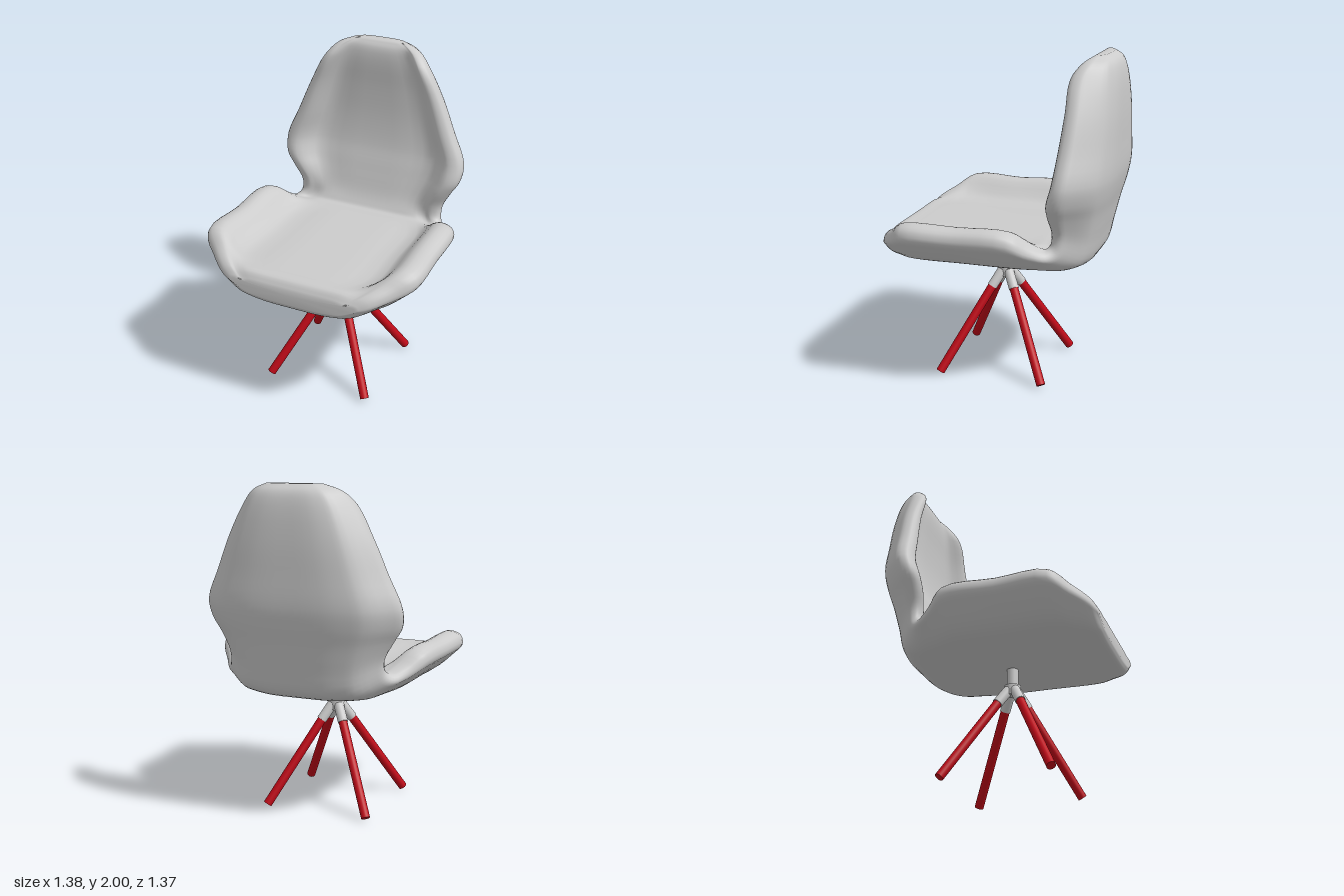
import * as THREE from 'three';

const grey = new THREE.MeshStandardMaterial({ color: 0xcccccc });
const red = new THREE.MeshStandardMaterial({ color: 0xc00a18 });

// Shell stations from seat front to back top:
// [outer y, outer z, inner y, inner z, half width, rim height above outer face]
const STATIONS = [
  [0.79, 0.685, 0.88, 0.68, 0.40, 0.09],
  [0.755, 0.66, 0.93, 0.645, 0.48, 0.175],
  [0.75, 0.56, 0.935, 0.56, 0.585, 0.235],
  [0.75, 0.46, 0.935, 0.46, 0.68, 0.30],
  [0.75, 0.15, 0.93, 0.15, 0.675, 0.30],
  [0.75, -0.17, 0.93, -0.17, 0.665, 0.30],
  [0.75, -0.30, 0.93, -0.28, 0.59, 0.22],
  [0.755, -0.44, 0.93, -0.35, 0.53, 0.20],
  [0.80, -0.55, 0.96, -0.375, 0.49, 0.24],
  [0.95, -0.595, 1.02, -0.405, 0.485, 0.235],
  [1.10, -0.63, 1.12, -0.435, 0.54, 0.27],
  [1.21, -0.66, 1.21, -0.46, 0.592, 0.295],
  [1.32, -0.68, 1.32, -0.49, 0.60, 0.285],
  [1.50, -0.685, 1.50, -0.51, 0.525, 0.27],
  [1.70, -0.685, 1.70, -0.51, 0.44, 0.255],
  [1.88, -0.67, 1.88, -0.50, 0.345, 0.235],
  [1.96, -0.645, 1.96, -0.51, 0.27, 0.16],
  [2.00, -0.60, 2.00, -0.54, 0.17, 0.06],
];

// Half cross-section of the padding: [fraction of half width, fraction of rim height]
const OUTER = [[0.35, 0.01], [0.56, 0.07], [0.735, 0.18], [0.92, 0.52],
  [1, 0.72], [0.98, 0.92], [0.88, 1], [0.79, 0.93]];
const INNER = [0.63, 0.3]; // width fractions at the cushion's inner height

function ringPoints([oy, oz, iy, iz, w, rim]) {
  const outer = new THREE.Vector3(0, oy, oz);
  const up = new THREE.Vector3(0, iy - oy, iz - oz);
  const thick = up.length();
  up.normalize();
  const half = [...OUTER.map(([f, h]) => [f * w, h * rim]), ...INNER.map(f => [f * w, thick])];
  const mirrored = half.map(([x, h]) => [-x, h]).reverse();
  return [[0, 0], ...half, [0, thick], ...mirrored]
    .map(([x, h]) => outer.clone().addScaledVector(up, h).setX(x));
}

// Smooth closed loft through the stations
function shellGeometry(around = 66, along = 68) {
  const rings = STATIONS.map(s => {
    const curve = new THREE.CatmullRomCurve3(ringPoints(s), true);
    return Array.from({ length: around }, (_, j) => curve.getPoint(j / around));
  });
  const rails = Array.from({ length: around }, (_, j) =>
    new THREE.CatmullRomCurve3(rings.map(r => r[j])));
  const pos = [], index = [];
  for (let i = 0; i <= along; i++)
    for (const rail of rails) pos.push(...rail.getPoint(i / along).toArray());
  for (let i = 0; i < along; i++) {
    for (let j = 0; j < around; j++) {
      const k = (j + 1) % around;
      const a = i * around + j, b = i * around + k;
      const c = a + around, d = b + around;
      index.push(a, c, b, b, c, d);
    }
  }
  // close the front and top ends
  for (const [ring, start] of [[rings[0], 0], [rings[rings.length - 1], along * around]]) {
    const centre = ring.reduce((s, p) => s.add(p), new THREE.Vector3()).divideScalar(around);
    const c = pos.length / 3;
    pos.push(...centre.toArray());
    for (let j = 0; j < around; j++) {
      const a = start + j, b = start + (j + 1) % around;
      if (start === 0) index.push(c, a, b);
      else index.push(c, b, a);
    }
  }
  const geo = new THREE.BufferGeometry();
  geo.setAttribute('position', new THREE.Float32BufferAttribute(pos, 3));
  geo.setIndex(index);
  geo.computeVertexNormals();
  return geo;
}

// Round bar between two points
function bar(name, from, to, radius, material) {
  const a = new THREE.Vector3(...from), b = new THREE.Vector3(...to);
  const dir = b.clone().sub(a);
  const mesh = new THREE.Mesh(new THREE.CylinderGeometry(radius, radius, dir.length(), 20), material);
  mesh.position.copy(a).add(b).multiplyScalar(0.5);
  mesh.quaternion.setFromUnitVectors(new THREE.Vector3(0, 1, 0), dir.normalize());
  mesh.name = name;
  return mesh;
}

export function createModel() {
  const chair = new THREE.Group();
  chair.name = 'chair';

  const shell = new THREE.Mesh(shellGeometry(), grey);
  shell.name = 'seatAndBack';
  chair.add(shell);

  // Pedestal: stem, collar and four splayed legs in grey sockets
  const base = new THREE.Group();
  base.name = 'base';
  base.position.z = 0.04;
  base.add(bar('stem', [0, 0.6, 0], [0, 0.8, 0], 0.035, grey));
  base.add(bar('collar', [0, 0.58, 0], [0, 0.645, 0], 0.05, grey));
  for (const sx of [1, -1]) {
    for (const sz of [1, -1]) {
      const at = (d, y) => [sx * d, y, sz * d];
      const side = (sz > 0 ? 'front' : 'back') + (sx > 0 ? 'Left' : 'Right');
      base.add(bar(side + 'Socket', at(0.02, 0.615), at(0.072, 0.518), 0.031, grey));
      base.add(bar(side + 'Leg', at(0.068, 0.525), at(0.326, 0.016), 0.027, red));
    }
  }
  chair.add(base);
  return chair;
}
